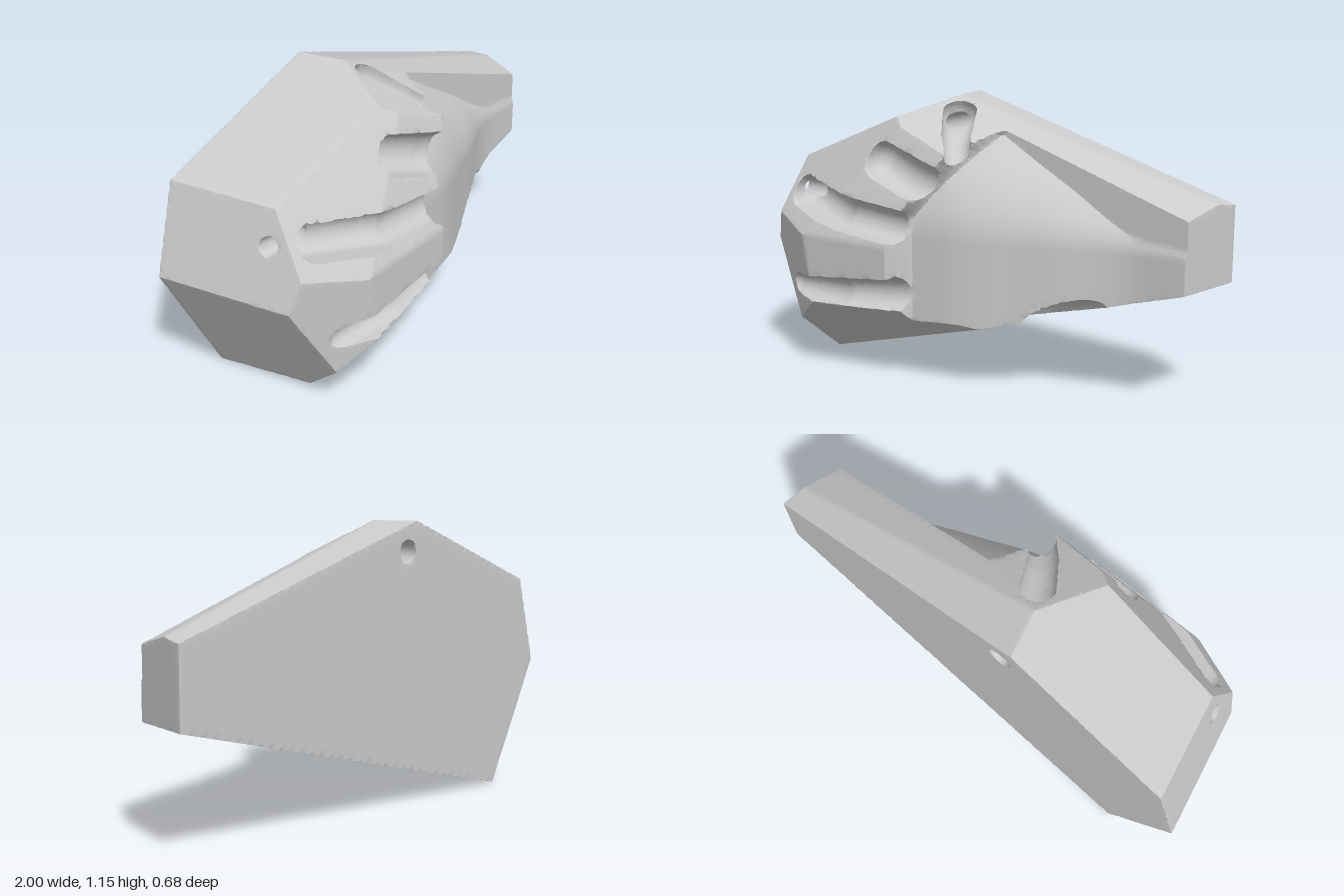
import * as THREE from 'three';
import { toCreasedNormals } from 'three/addons/utils/BufferGeometryUtils.js';

const V = (x, y, z) => new THREE.Vector3(x, y, z);
const { smoothstep, clamp, lerp } = THREE.MathUtils;
const INSIDE = V(0, 0.55, -0.2);

// Half-space through three points, facing away from the block's middle
function facet(a, b, c) {
  const p = new THREE.Plane().setFromCoplanarPoints(V(...a), V(...b), V(...c));
  return p.distanceToPoint(INSIDE) > 0 ? p.negate() : p;
}

// Faceted block: corners of the back outline, then the faces
const A = [-1, 0.52, -0.34], B = [-0.9, 0.88, -0.34], C = [-0.2, 1.15, -0.34];
const E = [1, 0.78, -0.34], G = [1, 0.48, -0.34], H = [-0.73, 0, -0.34];
const A2 = [-0.89, 0.51, 0.2], B2 = [-0.83, 0.86, 0.09];
const C2 = [-0.16, 1.15, -0.15], C3 = [-0.28, 1.07, 0.12];
const FACETS = [
  facet(A, B, C),                                              // back
  facet(A, B, A2), facet(A, H, A2),                            // left end walls
  facet(B, C, B2), facet(C, E, C2),                            // upper walls
  facet(E, G, [0.94, 0.6, -0.05]),                             // wrist end
  facet(H, G, [-0.66, 0.03, 0.08]),                            // lower wall
  facet([-0.66, 0.03, 0.08], [0.1, 0.25, 0.16], [-0.71, 0.19, 0.26]), // lower chamfer
  facet(C2, [0.94, 0.79, -0.19], [0.94, 0.745, -0.05]),        // upper chamfer
  facet(C2, C3, [0.04, 0.94, 0.2]),                            // facet above the palm
  facet(B2, C3, [-0.6, 0.58, 0.34]),                           // upper front
  facet([-0.2, 0.58, 0.34], [0.04, 0.58, 0.34], [0, 0.94, 0.2]), // knuckle slope
  facet(A2, [-0.6, 0.5, 0.34], [-0.71, 0.19, 0.26]),           // left front
  facet([-0.6, 0.5, 0.34], [-0.2, 0.5, 0.34], [-0.2, 0.3, 0.34]) // front
];

// Finger grooves, open to the front: points [x, y, z, radius]
const GROOVES = [
  [[0.06, 0.81, 0.25, 0.07], [-0.12, 0.85, 0.235, 0.08], [-0.29, 0.9, 0.19, 0.075]],
  [[-0.08, 0.65, 0.29, 0.067], [-0.42, 0.68, 0.285, 0.067], [-0.74, 0.73, 0.15, 0.062]],
  [[-0.1, 0.38, 0.29, 0.075], [-0.4, 0.36, 0.33, 0.062], [-0.71, 0.345, 0.29, 0.045]]
];
// Enclosed hollows
const BORES = [
  [[0.06, 0.93, 0.16, 0.05], [-0.02, 1, 0.06, 0.06], [-0.1, 1.07, -0.07, 0.072]],  // first finger
  [[0.64, 0.38, 0.01, 0.04], [0.36, 0.3, 0, 0.09], [0.12, 0.24, -0.03, 0.1], [-0.1, 0.19, -0.075, 0.085]], // thumb
  [[-0.14, 1.03, -0.1, 0.047], [-0.15, 1.03, -0.5, 0.047]],                        // back hole
  [[-0.72, 0.73, 0.1, 0.037], [-1.05, 0.73, 0.06, 0.037]]                          // side hole
];

// Distance to a rounded segment with a changing radius
function capsule(x, y, z, a, b) {
  const dx = b[0] - a[0], dy = b[1] - a[1], dz = b[2] - a[2];
  const t = clamp(((x - a[0]) * dx + (y - a[1]) * dy + (z - a[2]) * dz) / (dx * dx + dy * dy + dz * dz), 0, 1);
  return Math.hypot(x - a[0] - t * dx, y - a[1] - t * dy, z - a[2] - t * dz) - lerp(a[3], b[3], t);
}
// The same segment swept forward, making a U-shaped trough
function trough(x, y, z, a, b) {
  const dx = b[0] - a[0], dy = b[1] - a[1];
  const t = clamp(((x - a[0]) * dx + (y - a[1]) * dy) / (dx * dx + dy * dy), 0, 1);
  const depth = Math.min(0, z - lerp(a[2], b[2], t));
  return Math.hypot(x - a[0] - t * dx, y - a[1] - t * dy, depth) - lerp(a[3], b[3], t);
}

// Height of the palm and forearm rest, ending in a step at the fingers
const CENTRE = [[-0.3, 0.24], [-0.1, 0.215], [0.05, 0.195], [0.15, 0.165], [0.3, 0.105], [0.45, 0.05], [0.6, -0.02], [0.72, -0.055], [1.1, -0.06]];
function profile(x) {
  let i = 0;
  while (i < CENTRE.length - 2 && x > CENTRE[i + 1][0]) i++;
  const [x0, y0] = CENTRE[i], [x1, y1] = CENTRE[i + 1];
  return lerp(y0, y1, clamp((x - x0) / (x1 - x0), 0, 1));
}
function palmHeight(x, y) {
  const c = (profile(x - 0.05) + 2 * profile(x) + profile(x + 0.05)) / 4;
  const t = Math.max(0, y - 0.6) / (0.39 - 0.25 * clamp(x, 0, 1));
  const rest = Math.max(c - 0.19 * t * t, -0.068);
  const edge = -0.16 + 0.75 * Math.max(0, y - 0.68);
  return rest + 0.25 * (1 - smoothstep(x, edge - 0.05, edge + 0.04));
}

// Signed distance of the carved block, negative inside
function field(x, y, z) {
  let d = (z - palmHeight(x, y)) * 0.8;
  for (const { normal: n, constant } of FACETS) d = Math.max(d, n.x * x + n.y * y + n.z * z + constant);
  for (const [paths, shape] of [[GROOVES, trough], [BORES, capsule]])
    for (const g of paths)
      for (let i = 0; i + 1 < g.length; i++) d = Math.max(d, -shape(x, y, z, g[i], g[i + 1]));
  return d;
}
function gradient(p) {
  const e = 0.0008;
  return V(
    field(p.x + e, p.y, p.z) - field(p.x - e, p.y, p.z),
    field(p.x, p.y + e, p.z) - field(p.x, p.y - e, p.z),
    field(p.x, p.y, p.z + e) - field(p.x, p.y, p.z - e)
  ).normalize();
}

// Skin the field: one vertex per crossed cell, pulled onto the sharp edges
function skin(min, max, h) {
  const [nx, ny, nz] = [0, 1, 2].map(k => Math.ceil((max[k] - min[k]) / h) + 1);
  const step = [1, nx, nx * ny];
  const at = (i, j, k) => i + nx * (j + ny * k);
  const point = (i, j, k) => V(min[0] + i * h, min[1] + j * h, min[2] + k * h);
  const val = new Float32Array(nx * ny * nz);
  for (let k = 0; k < nz; k++) for (let j = 0; j < ny; j++) for (let i = 0; i < nx; i++)
    val[at(i, j, k)] = field(min[0] + i * h, min[1] + j * h, min[2] + k * h);

  // Crossings on grid edges, shared by the four cells around each
  const cells = new Map(), quads = [];
  for (let k = 1; k < nz - 1; k++) for (let j = 1; j < ny - 1; j++) for (let i = 1; i < nx - 1; i++) {
    const s = at(i, j, k);
    for (let axis = 0; axis < 3; axis++) {
      const a = val[s], b = val[s + step[axis]];
      if ((a < 0) === (b < 0)) continue;
      const p = point(i, j, k);
      p.setComponent(axis, p.getComponent(axis) + h * a / (a - b));
      const hit = { p, n: gradient(p) };
      const u = step[(axis + 1) % 3], v = step[(axis + 2) % 3];
      const ring = [s, s - u, s - u - v, s - v];
      for (const c of ring) {
        if (!cells.has(c)) cells.set(c, { hits: [], index: 0 });
        cells.get(c).hits.push(hit);
      }
      quads.push(a < 0 ? ring : ring.reverse());
    }
  }

  const pos = [], index = [];
  let count = 0;
  for (const [c, cell] of cells) {
    const v = V(0, 0, 0), move = V(0, 0, 0), n = cell.hits.length;
    const lo = point(c % nx, Math.floor(c / nx) % ny, Math.floor(c / (nx * ny)));
    const hi = lo.clone().addScalar(h);
    cell.hits.forEach(q => v.addScaledVector(q.p, 1 / n));
    for (let it = 0; it < 20; it++) {
      move.set(0, 0, 0);
      for (const q of cell.hits)
        move.addScaledVector(q.n, (q.n.dot(q.p) - q.n.dot(v)) / n);
      v.add(move).clamp(lo, hi);
    }
    pos.push(v.x, v.y, v.z);
    cell.index = count++;
  }
  for (const q of quads) {
    const [a, b, c, d] = q.map(id => cells.get(id).index);
    index.push(a, b, c, a, c, d);
  }
  const geo = new THREE.BufferGeometry();
  geo.setAttribute('position', new THREE.Float32BufferAttribute(pos, 3));
  geo.setIndex(index);
  return toCreasedNormals(geo, 0.5);
}

export function createModel() {
  const group = new THREE.Group();
  group.name = 'handRest';
  const geo = skin([-1.047, -0.045, -0.387], [1.05, 1.21, 0.4], 0.0143);
  const block = new THREE.Mesh(geo, new THREE.MeshStandardMaterial({ color: 0xcccccc }));
  block.name = 'carvedHandBlock';
  group.add(block);
  return group;
}
